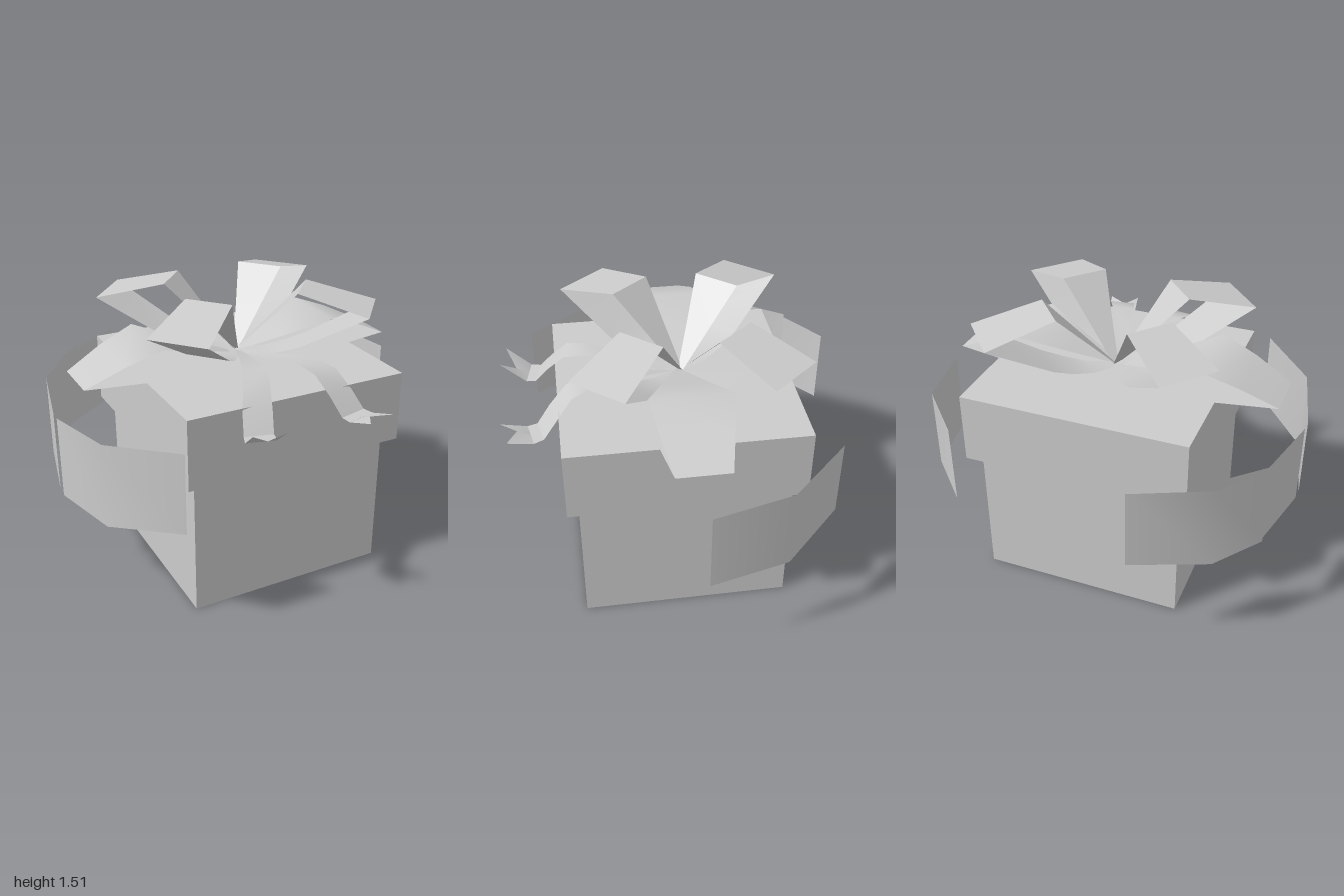
import * as THREE from 'three';
import { toCreasedNormals } from 'three/addons/utils/BufferGeometryUtils.js';

const material = new THREE.MeshStandardMaterial({ color: 0xcccccc, side: THREE.DoubleSide });

function addMesh(parent, name, geometry) {
  const mesh = new THREE.Mesh(geometry, material);
  mesh.name = name;
  parent.add(mesh);
  return mesh;
}

// Thin strip spanned between two matching edges of [x, y, z] points
function strip(edgeA, edgeB) {
  const positions = [], index = [];
  edgeA.forEach((a, i) => {
    positions.push(...a, ...edgeB[i]);
    if (i > 0) {
      const k = 2 * i;
      index.push(k - 2, k - 1, k, k - 1, k + 1, k);
    }
  });
  const g = new THREE.BufferGeometry();
  g.setAttribute('position', new THREE.Float32BufferAttribute(positions, 3));
  g.setIndex(index);
  return toCreasedNormals(g, 0.75);
}

// Ribbon running outward from a centre; stations are [radius, height, width]
function radialRibbon(cx, cz, angle, stations) {
  const dx = Math.cos(angle), dz = Math.sin(angle);
  const edge = (s) => stations.map(([r, y, w]) =>
    [cx + r * dx - s * dz * w / 2, y, cz + r * dz + s * dx * w / 2]);
  return strip(edge(1), edge(-1));
}

// Box without a bottom
function openBox(x0, x1, y0, y1, z0, z1) {
  const g = new THREE.BoxGeometry(x1 - x0, y1 - y0, z1 - z0);
  const index = Array.from(g.index.array);
  index.splice(18, 6); // bottom face
  g.setIndex(index);
  g.translate((x0 + x1) / 2, (y0 + y1) / 2, (z0 + z1) / 2);
  return g;
}

export function createModel() {
  const model = new THREE.Group();
  model.name = 'giftBox';

  addMesh(model, 'boxBody', openBox(-0.505, 0.585, 0, 0.75, -0.54, 0.55));
  addMesh(model, 'boxLid', openBox(-0.56, 0.645, 0.745, 1.12, -0.605, 0.61));

  const bow = new THREE.Group();
  bow.name = 'bow';
  model.add(bow);

  // Four raised loops on the diagonals
  const loop = [
    [0, 1.14, 0.05], [0.14, 1.145, 0.13], [0.26, 1.18, 0.2], [0.37, 1.225, 0.24],
    [0.715, 1.42, 0.32], [0.35, 1.51, 0.25], [0.18, 1.33, 0.14], [0, 1.14, 0.03],
  ];
  const tilt = 0.71;
  [tilt, Math.PI - tilt, Math.PI + tilt, -tilt].forEach((angle) =>
    addMesh(bow, 'raisedLoop', radialRibbon(0.025, -0.04, angle, loop)));

  // Two low loops, left and right
  const lowLoop = [
    [0.02, 1.14, 0.03], [0.46, 1.137, 0.43], [0.877, 1.135, 0.27],
    [0.68, 1.23, 0.355], [0.49, 1.3, 0.42], [0.25, 1.215, 0.22], [0.02, 1.14, 0.03],
  ];
  [0, Math.PI].forEach((angle) =>
    addMesh(bow, 'lowLoop', radialRibbon(0, -0.025, angle, lowLoop)));

  // Two hanging tails with a notched, upturned end
  const tails = [[1, 1.05], [-1, 1.11]];
  tails.forEach(([side, tipY]) => {
    const x = (v) => 0.025 + side * v;
    const outer = [[0.02, 1.15, 0], [0.1, 1.18, 0.2], [0.2, 1.22, 0.42],
      [0.26, 1.19, 0.54], [0.305, 1.1, 0.62], [0.335, 1.015, 0.69], [0.355, 1.01, 0.74]];
    const inner = [[0, 1.15, 0.06], [0.03, 1.18, 0.24], [0.08, 1.22, 0.44],
      [0.125, 1.19, 0.56], [0.16, 1.1, 0.65], [0.19, 1.01, 0.72], [0.2, 1.005, 0.77]];
    const place = (p) => [x(p[0]), p[1], p[2]];
    addMesh(bow, 'tail', strip(outer.map(place), inner.map(place)));
    const notch = place([0.28, 1.04, 0.82]);
    const a = place(outer[6]), b = place(inner[6]);
    const tips = [
      [place([0.385, tipY, 0.87]), a],
      [b, place([0.225, tipY, 0.905])],
    ];
    const middle = [(a[0] + b[0]) / 2, 1.007, 0.755];
    addMesh(bow, 'tailTip', strip([tips[0][1], tips[0][0]], [middle, notch]));
    addMesh(bow, 'tailTip', strip([middle, notch], [tips[1][0], tips[1][1]]));
  });

  // Loose curved bands standing around the box; points are [x, z, bottom, top]
  const bands = {
    leftBand: [[0.625, -0.765, 0.6, 1.025], [0.91, -0.455, 0.55, 0.995], [0.997, -0.045, 0.535, 0.975]],
    rightBackBand: [[-0.635, -0.765, 0.6, 1.025], [-0.91, -0.455, 0.55, 0.995], [-0.997, -0.045, 0.535, 0.975]],
    rightFrontBand: [[-1, 0.02, 0.535, 0.975], [-0.91, 0.425, 0.55, 0.995], [-0.63, 0.735, 0.6, 1.025]],
    backBand: [[-0.365, -0.92, 0.6, 1.025], [-0.73, -0.715, 0.55, 0.995], [-0.915, -0.45, 0.535, 0.975]],
  };
  for (const [name, points] of Object.entries(bands)) {
    addMesh(model, name, strip(
      points.map(([x, z, low]) => [x, low, z]),
      points.map(([x, z, , high]) => [x, high, z])));
  }
  return model;
}
